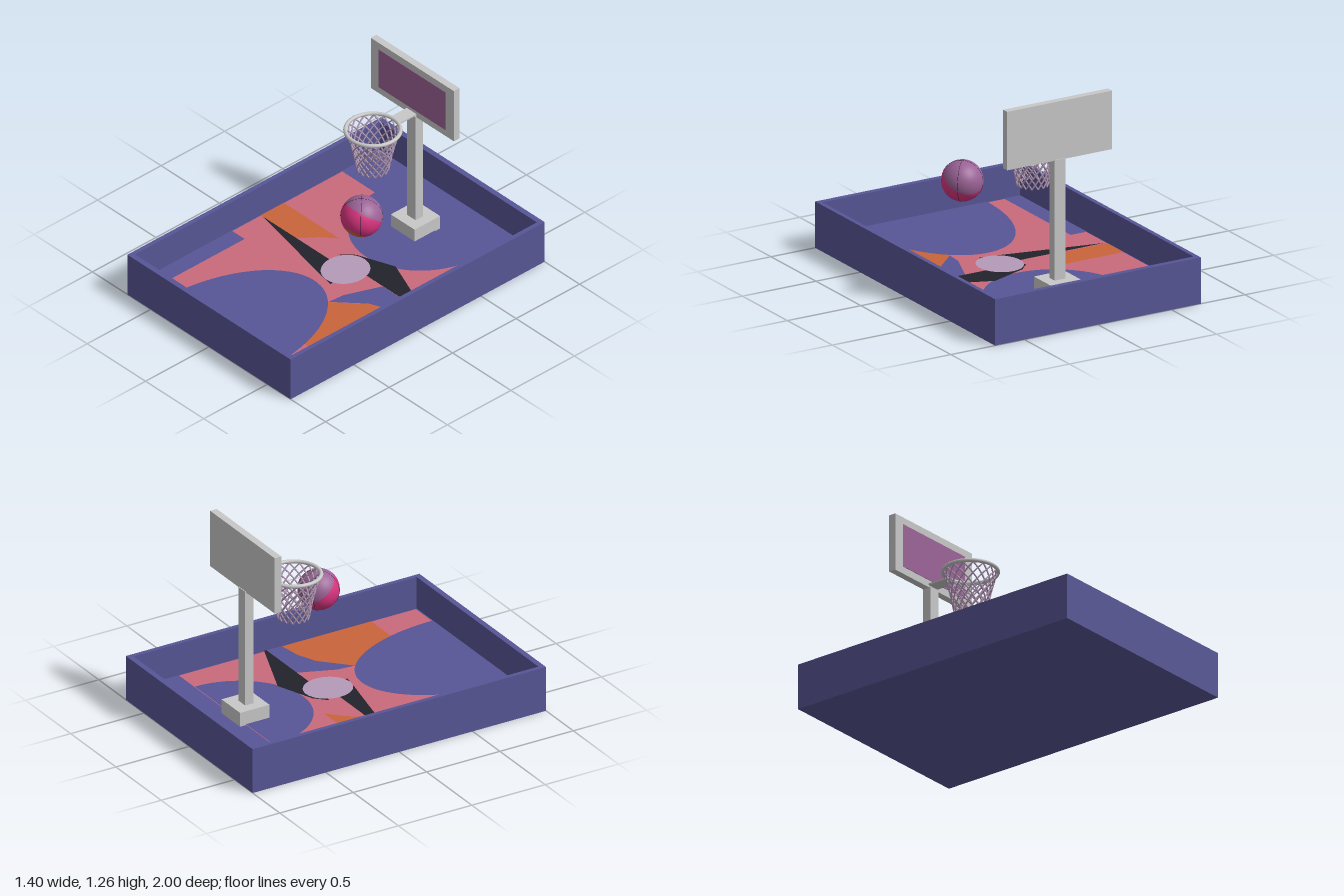
import * as THREE from 'three';

const mat = (name, color, side = THREE.FrontSide) => {
  const m = new THREE.MeshStandardMaterial({ color, side });
  m.name = name;
  return m;
};

export function createModel() {
  const blue = mat('blue', 0x585696);
  const rose = mat('rose', 0xc96a7c);
  const orange = mat('orange', 0xc9643a);
  const black = mat('black', 0x22222c);
  const lilac = mat('lilac', 0xb49ab8);
  const grey = mat('grey', 0xc8c8c8);
  const purple = mat('purple', 0x9a6296);
  const magenta = mat('magenta', 0xd8347f);

  const model = new THREE.Group();
  model.name = 'basketballCourt';
  const add = (name, geometry, material, x = 0, y = 0, z = 0, parent = model) => {
    const mesh = new THREE.Mesh(geometry, material);
    mesh.name = name;
    mesh.position.set(x, y, z);
    parent.add(mesh);
    return mesh;
  };
  // Box given by its limits on each axis
  const box = (name, material, x0, x1, y0, y1, z0, z1) =>
    add(name, new THREE.BoxGeometry(x1 - x0, y1 - y0, z1 - z0), material,
      (x0 + x1) / 2, (y0 + y1) / 2, (z0 + z1) / 2);

  // Tray: rectangular wall ring and floor slab
  const rect = (s, w, d) => s.moveTo(-w, -d).lineTo(w, -d).lineTo(w, d).lineTo(-w, d).closePath();
  const ring = rect(new THREE.Shape(), 0.7, 1);
  ring.holes.push(rect(new THREE.Path(), 0.672, 0.965));
  const walls = new THREE.ExtrudeGeometry(ring, { depth: 0.285, bevelEnabled: false });
  walls.rotateX(-Math.PI / 2);
  add('trayWalls', walls, blue);
  const floorY = 0.08;
  box('trayFloor', blue, -0.68, 0.68, 0, floorY, -0.97, 0.97);

  // Painted court areas, stacked in thin layers; points are [x, z]
  const paint = (name, material, points, layer) => {
    const shape = new THREE.Shape(points.map(([x, z]) => new THREE.Vector2(x, -z)));
    const g = new THREE.ShapeGeometry(shape);
    g.rotateX(-Math.PI / 2);
    add(name, g, material, 0, floorY + layer * 0.002, 0);
  };
  const arc = (cx, cz, rx, rz, from, to, n = 48) => Array.from({ length: n + 1 }, (_, i) => {
    const a = from + (to - from) * i / n;
    return [cx + rx * Math.cos(a), cz + rz * Math.sin(a)];
  });
  paint('courtSurface', rose, [[-0.665, -0.66], [0.665, -0.66], [0.665, 0.955], [-0.665, 0.955]], 1);
  paint('leftOrangeArea', orange, [[-0.665, -0.2], [-0.19, -0.2], [-0.28, -0.12], [-0.36, -0.015], [-0.665, -0.015]], 2);
  paint('rightOrangeArea', orange, [[0.665, 0.04], [0.52, 0.06], [0.4, 0.11], [0.23, 0.27], [0.3, 0.5], [0.42, 0.65], [0.665, 0.65]], 2);
  paint('rightBlueWedge', blue, [[0.33, -0.065], [0.665, -0.065], [0.665, 0.04], [0.52, 0.06], [0.4, 0.11], [0.23, 0.27], [0.24, 0.16]], 3);
  paint('leftBlueStrip', blue, [[-0.665, 0.21], [-0.555, 0.21], [-0.555, 0.955], [-0.665, 0.955]], 3);
  paint('backBlueArch', blue, arc(0.055, -0.66, 0.435, 0.47, 0, Math.PI), 3);
  paint('frontBlueArch', blue, arc(0.02, 0.955, 0.46, 0.765, Math.PI, Math.PI * 2), 4);
  paint('leftBlackWedge', black, [[-0.64, -0.015], [-0.05, -0.015], [0.11, 0.1], [0.11, 0.145], [0, 0.125]], 4);
  paint('rightBlackWedge', black, [[-0.07, -0.09], [0, -0.16], [0.24, -0.25], [0.665, -0.08], [0.665, -0.065], [0.1, -0.065]], 4);
  paint('centreCircle', lilac, arc(0.065, -0.015, 0.137, 0.15, 0, Math.PI * 2), 5);

  // Stand and backboard
  box('standBase', grey, -0.075, 0.13, floorY, 0.17, -0.7, -0.5);
  box('post', grey, -0.01, 0.065, 0.15, 0.91, -0.625, -0.567);
  box('backboard', grey, -0.328, 0.385, 0.905, 1.265, -0.62, -0.575);
  box('backboardPanel', purple, -0.258, 0.317, 0.95, 1.22, -0.576, -0.572);
  box('rimBracket', grey, -0.02, 0.063, 0.918, 0.928, -0.58, -0.448);

  // Hoop: rim and net of crossing strands
  const hoop = new THREE.Group();
  hoop.name = 'hoop';
  hoop.position.set(0.007, 0, -0.285);
  model.add(hoop);
  const rim = new THREE.TorusGeometry(0.161, 0.012, 10, 48);
  rim.rotateX(Math.PI / 2);
  add('rim', rim, grey, 0, 0.928, 0, hoop);
  const strands = 16, twist = Math.PI * 0.56;
  for (const dir of [1, -1]) {
    const points = [];
    for (let i = 0; i <= 10; i++) {
      const t = i / 10, r = 0.155 - 0.085 * t + 0.021 * t * t, a = dir * twist * t;
      points.push(new THREE.Vector3(r * Math.cos(a), 0.922 - 0.275 * t, r * Math.sin(a)));
    }
    const strand = new THREE.TubeGeometry(new THREE.CatmullRomCurve3(points), 24, 0.0048, 6);
    for (let i = 0; i < strands; i++) {
      add('netStrand', strand, lilac, 0, 0, 0, hoop).rotation.y = i * Math.PI * 2 / strands;
    }
  }

  // Ball: three colour bands around a tilted axis, with thin seams
  const ball = new THREE.Group();
  ball.name = 'ball';
  ball.position.set(0.278, 0.622, 0.053);
  model.add(ball);
  const R = 0.1235, deg = Math.PI / 180;
  const bands = [['ballTop', purple, 0, 78], ['ballMiddle', magenta, 78, 143], ['ballBottom', orange, 143, 180]];
  for (const [name, material, from, to] of bands) {
    const g = new THREE.SphereGeometry(R, 40, 16, 0, Math.PI * 2, from * deg, (to - from) * deg);
    add(name, g, material, 0, 0, 0, ball).rotation.x = -37 * deg;
  }
  const seam = new THREE.TorusGeometry(R, 0.0012, 6, 64);
  for (const a of [45, -45]) add('ballSeam', seam, black, 0, 0, 0, ball).rotation.y = a * deg;

  return model;
}
